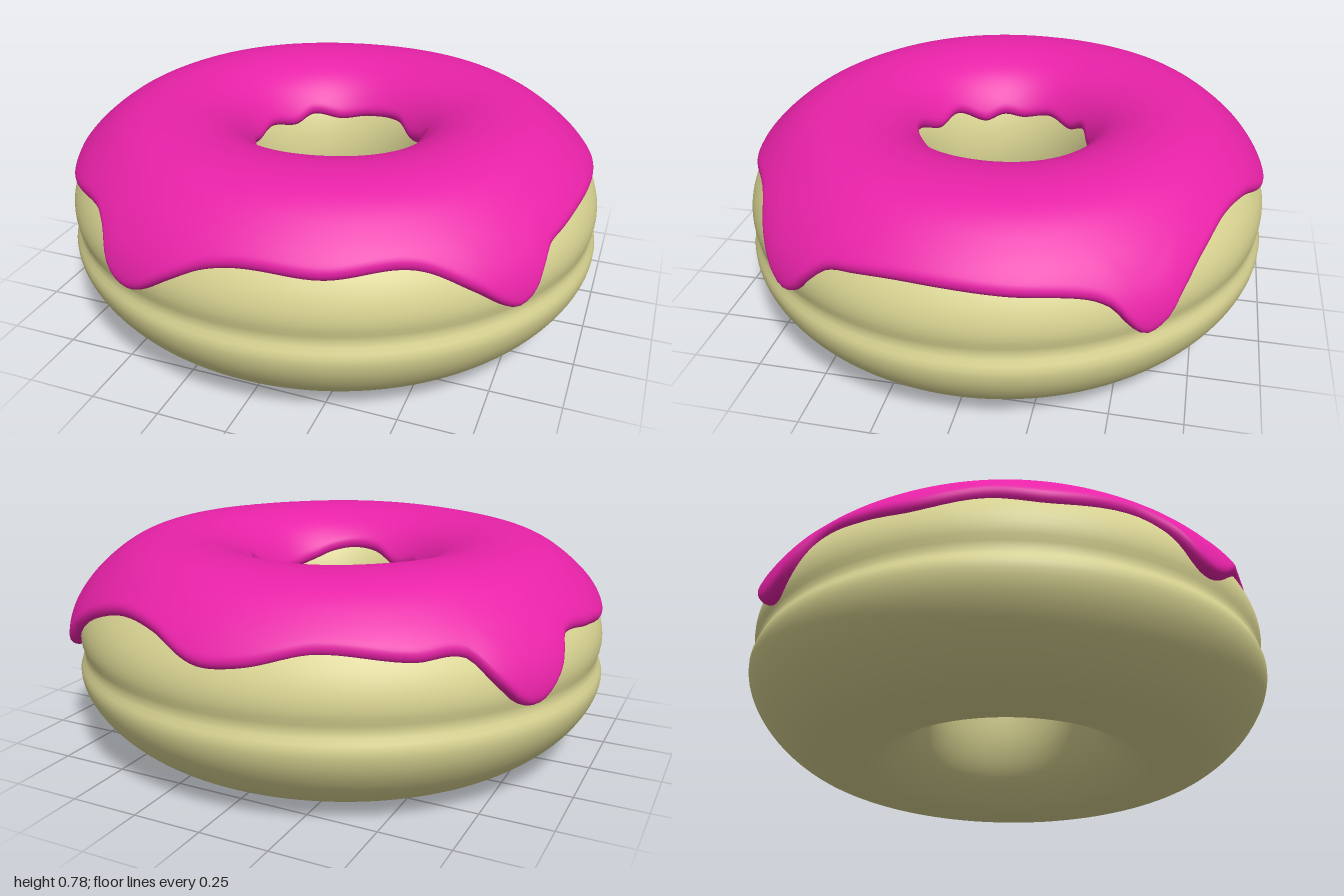
import * as THREE from 'three';

// Dough cross-section (radius, height): under the ring, up the outside, over the top, down the hole
const PROFILE = [
  [0.60, 0], [0.70, 0.008], [0.81, 0.05], [0.92, 0.14], [0.985, 0.24], [0.998, 0.31],
  [0.978, 0.36], [0.99, 0.42], [0.988, 0.47], [0.968, 0.53], [0.922, 0.60], [0.86, 0.66],
  [0.78, 0.715], [0.70, 0.742], [0.60, 0.748], [0.50, 0.732], [0.41, 0.69], [0.345, 0.62],
  [0.31, 0.54], [0.292, 0.44], [0.295, 0.34], [0.32, 0.22], [0.37, 0.12], [0.44, 0.05], [0.52, 0.008],
];

// Icing edge heights as [degrees from +x towards +z, height]
const OUTER_EDGE = [
  [0, 0.57], [10, 0.57], [19, 0.555], [25, 0.535], [29, 0.48], [32, 0.425], [35.5, 0.405], [39, 0.43],
  [44, 0.49], [52, 0.565], [59, 0.585], [72, 0.565], [84, 0.575], [90, 0.57], [96, 0.545], [102, 0.49],
  [108, 0.425], [112, 0.41], [116, 0.435], [121, 0.525], [128, 0.57], [146, 0.54], [158, 0.56],
  [172, 0.525], [183, 0.545], [195, 0.555], [201, 0.45], [206, 0.395], [211, 0.405], [216, 0.48],
  [221, 0.565], [231, 0.565], [249, 0.59], [263, 0.54], [272, 0.53], [284, 0.59], [296, 0.6],
  [307, 0.55], [314, 0.48], [318, 0.415], [322, 0.39], [325, 0.42], [329, 0.5], [335, 0.54], [348, 0.558],
];
const INNER_EDGE = [
  [0, 0.57], [22, 0.56], [45, 0.59], [60, 0.62], [75, 0.635], [90, 0.625], [110, 0.58], [130, 0.6],
  [150, 0.55], [165, 0.57], [180, 0.56], [200, 0.58], [220, 0.56], [235, 0.59], [255, 0.57], [275, 0.59],
  [300, 0.6], [320, 0.57], [335, 0.59], [346, 0.635],
];

// Smooth periodic interpolation through [degrees, value] knots
function periodic(knots, deg) {
  const n = knots.length;
  const at = (i) => {
    const turn = Math.floor(i / n);
    const [d, v] = knots[i - turn * n];
    return [d + 360 * turn, v];
  };
  let i = n - 1;
  while (i > 0 && knots[i][0] > deg) i--;
  const [a, b, c, d] = [at(i - 1), at(i), at(i + 1), at(i + 2)];
  const h = c[0] - b[0], t = (deg - b[0]) / h;
  const m0 = ((c[1] - a[1]) / (c[0] - a[0])) * h;
  const m1 = ((d[1] - b[1]) / (d[0] - b[0])) * h;
  const t2 = t * t, t3 = t2 * t;
  return (2 * t3 - 3 * t2 + 1) * b[1] + (t3 - 2 * t2 + t) * m0 + (3 * t2 - 2 * t3) * c[1] + (t3 - t2) * m1;
}

function icingGeometry(curve) {
  const N = 900, AROUND = 256, ROWS = 48;
  const pts = curve.getSpacedPoints(N);
  const step = curve.getLength() / N;
  const sample = (f) => {
    const i = Math.floor(f);
    return pts[i].clone().lerp(pts[i + 1], f - i);
  };
  // Fractional position on the profile where the height is crossed
  const outerAt = (y) => {
    let i = 0;
    while (pts[i + 1].y < y) i++;
    return i + (y - pts[i].y) / (pts[i + 1].y - pts[i].y);
  };
  const innerAt = (y) => {
    let i = N;
    while (pts[i - 1].y < y) i--;
    return i - (y - pts[i].y) / (pts[i - 1].y - pts[i].y);
  };

  const pos = [], index = [];
  for (let i = 0; i < AROUND; i++) {
    const deg = (i / AROUND) * 360, a = THREE.MathUtils.degToRad(deg);
    const edge = periodic(OUTER_EDGE, deg);
    const f0 = outerAt(edge), f1 = innerAt(periodic(INNER_EDGE, deg));
    const thick = 0.029 + 0.003 * Math.sin(3 * a + 1) * Math.cos(2 * a);
    for (let j = 0; j <= ROWS; j++) {
      const s = 0.5 - 0.5 * Math.cos((Math.PI * j) / ROWS);
      const f = f0 + (f1 - f0) * s;
      const p = sample(f);
      const t = sample(f + 4).sub(sample(f - 4)).normalize();
      // Rounded lip at both edges, fuller on the drips
      const k = Math.min(1, (Math.min(f - f0, f1 - f) * step) / 0.035);
      const drip = Math.max(0, 0.54 - edge) * 0.1 * Math.max(0, 1 - s * 5);
      const off = -0.008 + (thick + drip + 0.008) * Math.sqrt(1 - (1 - k) ** 2);
      const r = p.x + t.y * off;
      pos.push(r * Math.cos(a), p.y - t.x * off, r * Math.sin(a));
      if (j < ROWS) {
        const A = i * (ROWS + 1) + j, B = ((i + 1) % AROUND) * (ROWS + 1) + j;
        index.push(A, A + 1, B, B, A + 1, B + 1);
      }
    }
  }
  const g = new THREE.BufferGeometry();
  g.setAttribute('position', new THREE.Float32BufferAttribute(pos, 3));
  g.setIndex(index);
  g.computeVertexNormals();
  return g;
}

export function createModel() {
  const group = new THREE.Group();
  group.name = 'doughnut';
  const curve = new THREE.CatmullRomCurve3(PROFILE.map(([r, y]) => new THREE.Vector3(r, y, 0)), true);
  curve.arcLengthDivisions = 1500;

  // Dough ring
  const section = curve.getSpacedPoints(110).map((p) => new THREE.Vector2(p.x, Math.max(0, p.y)));
  const dough = new THREE.Mesh(
    new THREE.LatheGeometry(section, 128),
    new THREE.MeshStandardMaterial({ color: 0xd9d492 }),
  );
  dough.name = 'dough';

  // Dripping icing over the top
  const icing = new THREE.Mesh(
    icingGeometry(curve),
    new THREE.MeshStandardMaterial({ color: 0xe822a8, side: THREE.DoubleSide }),
  );
  icing.name = 'icing';

  group.add(dough, icing);
  group.scale.z = 0.97; // slightly oval ring
  return group;
}
